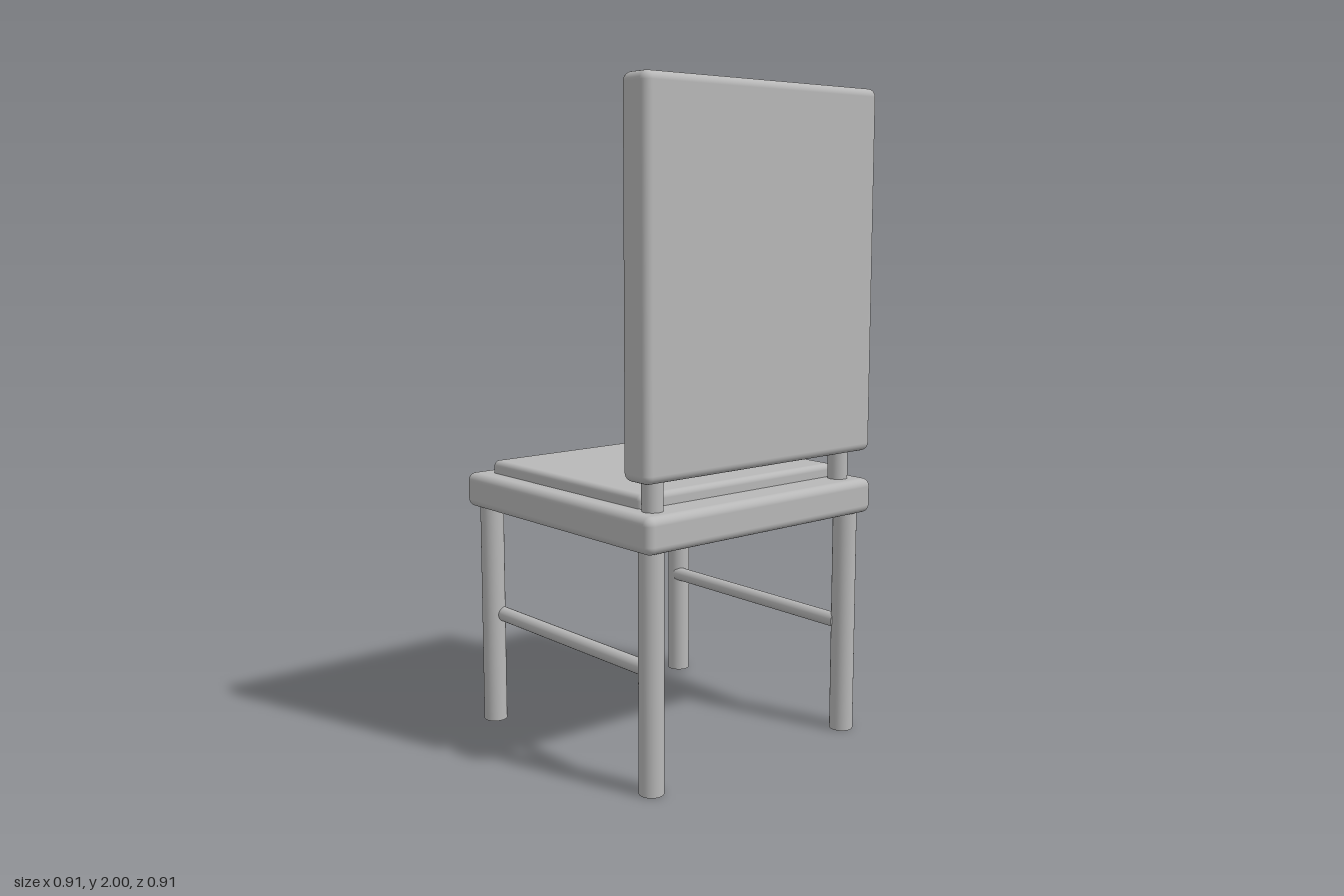
import * as THREE from 'three';
import { RoundedBoxGeometry } from 'three/addons/geometries/RoundedBoxGeometry.js';

export function createModel() {
  const chair = new THREE.Group();
  chair.name = 'chair';
  const grey = new THREE.MeshStandardMaterial({ color: 0xb8b8b8 });
  grey.name = 'plain grey';

  const add = (name, geometry, x, y, z) => {
    const mesh = new THREE.Mesh(geometry, grey);
    mesh.name = name;
    mesh.position.set(x, y, z);
    chair.add(mesh);
    return mesh;
  };

  // Rounded slab given by its lower and upper corners
  const slab = (name, [x0, y0, z0], [x1, y1, z1], radius) =>
    add(name, new RoundedBoxGeometry(x1 - x0, y1 - y0, z1 - z0, 4, radius),
      (x0 + x1) / 2, (y0 + y1) / 2, (z0 + z1) / 2);

  slab('seat', [-0.455, 0.705, -0.455], [0.455, 0.813, 0.455], 0.025);
  slab('seatCushion', [-0.393, 0.77, -0.395], [0.393, 0.853, 0.347], 0.018);
  slab('backrest', [-0.455, 0.9, 0.338], [0.455, 2, 0.447], 0.025);

  const legGeometry = new THREE.CylinderGeometry(0.037, 0.037, 0.72, 32);
  const postGeometry = new THREE.CylinderGeometry(0.031, 0.031, 0.16, 32);
  const stretcherGeometry = new THREE.CylinderGeometry(0.023, 0.023, 0.76, 24).rotateX(Math.PI / 2);

  for (const [side, s] of [['left', 1], ['right', -1]]) {
    // Legs, side stretcher and the short post carrying the backrest
    add(side + 'FrontLeg', legGeometry, s * 0.396, 0.36, 0.396);
    add(side + 'RearLeg', legGeometry, s * 0.396, 0.36, -0.396);
    add(side + 'Stretcher', stretcherGeometry, s * 0.38, 0.353, 0);
    add(side + 'BackPost', postGeometry, s * 0.377, 0.86, 0.379);
  }

  // Round buttons with a raised rim and a sunken centre
  const profile = [
    [0, 0.001], [0.012, 0.001], [0.016, 0.003], [0.019, 0.0065],
    [0.025, 0.007], [0.029, 0.005], [0.031, 0.001], [0.031, -0.006],
  ].map(([r, h]) => new THREE.Vector2(r, h)).reverse();
  const buttonGeometry = new THREE.LatheGeometry(profile, 28).rotateX(-Math.PI / 2);
  for (const x of [-0.283, 0, 0.283]) add('button', buttonGeometry, x, 1.453, 0.338);

  return chair;
}
